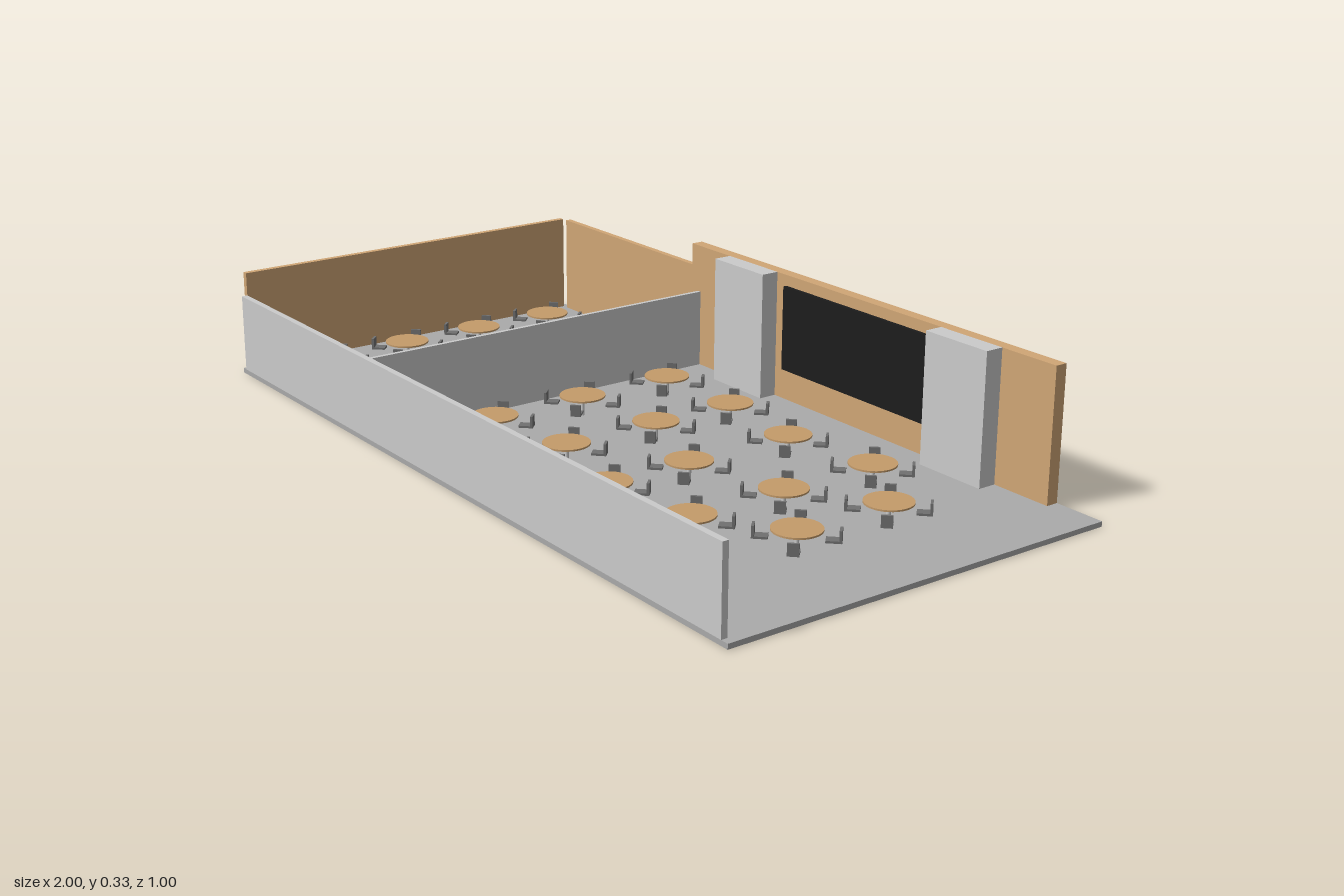
import * as THREE from 'three';

const mat = (color) => new THREE.MeshStandardMaterial({ color });
const grey = mat(0xcccccc);
const floorGrey = mat(0xaaaaaa);
const wood = mat(0xd0a676);
const tableWood = mat(0xc49b6a);
const chairGrey = mat(0x707070);
const black = mat(0x1c1c1c);

const FLOOR = 0.012;

// Box given by its min/max extents on each axis
function box(name, material, x0, x1, y0, y1, z0, z1) {
  const m = new THREE.Mesh(new THREE.BoxGeometry(x1 - x0, y1 - y0, z1 - z0), material);
  m.position.set((x0 + x1) / 2, (y0 + y1) / 2, (z0 + z1) / 2);
  m.name = name;
  return m;
}

// Chair facing the table; local +z points away from the table centre
function makeChair() {
  const chair = new THREE.Group();
  chair.name = 'chair';
  chair.add(
    box('chairSeat', chairGrey, -0.0125, 0.0125, 0.039, 0.044, 0.058, 0.092),
    box('chairBack', chairGrey, -0.0125, 0.0125, 0.044, 0.067, 0.086, 0.092),
  );
  return chair;
}

// Round table on a pedestal with four diagonal chairs
const topGeometry = new THREE.CylinderGeometry(0.055, 0.055, 0.004, 32);
const legGeometry = new THREE.CylinderGeometry(0.005, 0.005, 0.048, 16);
function makeTable(x, z) {
  const set = new THREE.Group();
  set.name = 'tableSet';
  const top = new THREE.Mesh(topGeometry, tableWood);
  top.name = 'tableTop';
  top.position.y = 0.062;
  const leg = new THREE.Mesh(legGeometry, grey);
  leg.name = 'tableLeg';
  leg.position.y = FLOOR + 0.024;
  set.add(top, leg);
  for (let i = 0; i < 4; i++) {
    const chair = makeChair();
    chair.rotation.y = Math.PI / 4 + i * Math.PI / 2;
    set.add(chair);
  }
  set.position.set(x, 0, z);
  return set;
}

export function createModel() {
  const model = new THREE.Group();
  model.name = 'diningHall';

  // Floor and walls
  model.add(
    box('floor', floorGrey, -1, 1, 0, FLOOR, -0.5, 0.5),
    box('frontWall', grey, -0.985, 0.98, FLOOR, 0.207, 0.485, 0.5),
    box('partitionWall', grey, -0.348, -0.338, FLOOR, 0.207, -0.47, 0.485),
    box('sideWall', wood, -1, -0.985, FLOOR, 0.265, -0.485, 0.485),
    box('lowBackWall', wood, -0.97, -0.373, FLOOR, 0.265, -0.5, -0.485),
    box('tallBackWall', wood, -0.373, 0.873, FLOOR, 0.327, -0.5, -0.47),
  );

  // Screen between two columns
  model.add(
    box('screen', black, 0, 0.5, 0.09, 0.3, -0.47, -0.46),
    box('column', grey, -0.22, -0.035, FLOOR, 0.327, -0.47, -0.424),
    box('column', grey, 0.53, 0.717, FLOOR, 0.327, -0.47, -0.424),
  );

  // Columns of tables: x, then z of each table
  const rows = [
    [-0.815, [-0.315, -0.097, 0.122, 0.34]],
    [-0.565, [-0.315, -0.097, 0.122, 0.34]],
    [-0.19, [-0.253, 0, 0.248]],
    [0.06, [-0.253, -0.034, 0.216]],
    [0.31, [-0.222, 0.061, 0.28]],
    [0.56, [-0.253, 0, 0.248]],
    [0.747, [-0.128, 0.122]],
  ];
  for (const [x, zs] of rows) for (const z of zs) model.add(makeTable(x, z));

  return model;
}
